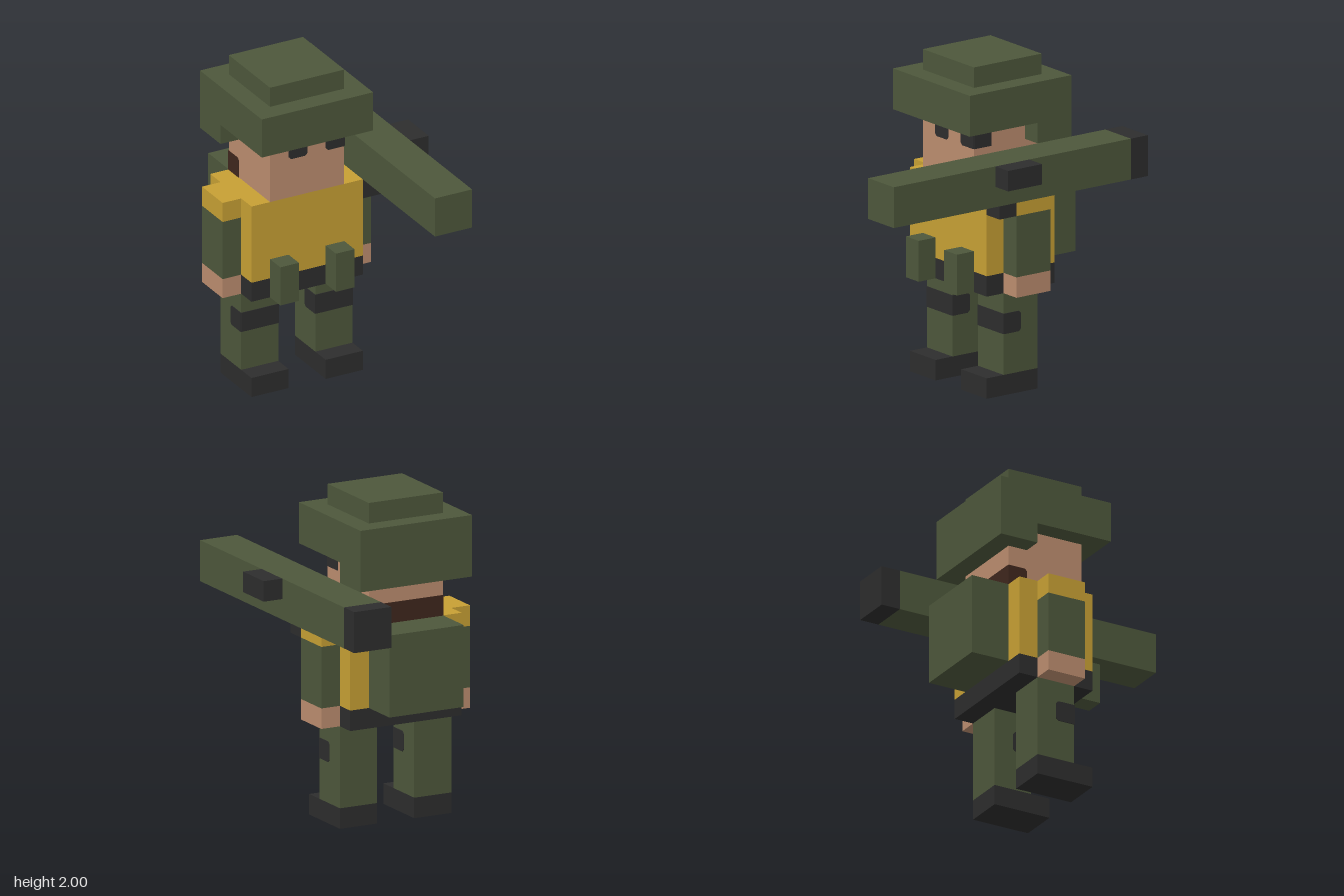
import * as THREE from 'three';

const mat = (name, color) => {
  const m = new THREE.MeshStandardMaterial({ color });
  m.name = name;
  return m;
};

export function createModel() {
  const green = mat('olive cloth', 0x4d573b);
  const yellow = mat('yellow vest', 0xc7a034);
  const skin = mat('skin', 0xbc8d6f);
  const black = mat('charcoal', 0x2d2d2d);
  const brown = mat('brown hair', 0x3f271d);

  const model = new THREE.Group();
  model.name = 'toySoldier';

  // Box given by its [min, max] range on each axis
  function box(name, material, [x0, x1], [y0, y1], [z0, z1]) {
    const mesh = new THREE.Mesh(new THREE.BoxGeometry(x1 - x0, y1 - y0, z1 - z0), material);
    mesh.position.set((x0 + x1) / 2, (y0 + y1) / 2, (z0 + z1) / 2);
    mesh.name = name;
    model.add(mesh);
  }

  // Thin painted plate; cuts chamfer the corners [bottom left, bottom right, top right, top left]
  function plate(name, material, w, h, position, turn = 0, cuts = [0, 0, 0, 0]) {
    const c = cuts.map((on) => (on ? 0.015 : 0));
    const x = w / 2, y = h / 2;
    const shape = new THREE.Shape();
    shape.moveTo(-x + c[0], -y);
    shape.lineTo(x - c[1], -y);
    if (c[1]) shape.lineTo(x, -y + c[1]);
    shape.lineTo(x, y - c[2]);
    if (c[2]) shape.lineTo(x - c[2], y);
    shape.lineTo(-x + c[3], y);
    if (c[3]) shape.lineTo(-x, y - c[3]);
    shape.lineTo(-x, -y + c[0]);
    const geometry = new THREE.ExtrudeGeometry(shape, { depth: 0.004, bevelEnabled: false });
    const mesh = new THREE.Mesh(geometry, material);
    mesh.position.set(...position);
    mesh.rotation.y = turn;
    mesh.name = name;
    model.add(mesh);
  }
  const LEFT = Math.PI / 2, RIGHT = -Math.PI / 2, BACK = Math.PI;

  // Helmet: crown, brim block and the lower guard round the back of the head
  box('helmetCrown', green, [-0.375, 0.125], [1.875, 2], [-0.4375, 0.0625]);
  box('helmet', green, [-0.5, 0.25], [1.625, 1.875], [-0.5625, 0.1875]);
  box('helmetBackGuard', green, [-0.5, 0.25], [1.5, 1.625], [-0.5625, -0.3125]);

  // Head with eyes and a band of hair at the nape
  box('head', skin, [-0.375, 0.125], [1.25, 1.7], [-0.4375, 0.0625]);
  plate('rightEye', black, 0.125, 0.125, [-0.1875, 1.5625, 0.0625], 0, [1, 1, 0, 0]);
  plate('leftEye', black, 0.125, 0.125, [0.0625, 1.5625, 0.0625], 0, [1, 0, 0, 0]);
  plate('leftEyeSide', black, 0.125, 0.125, [0.125, 1.5625, 0], LEFT);
  plate('hairBack', brown, 0.5, 0.125, [-0.125, 1.3125, -0.4375], BACK);
  plate('hairLeft', brown, 0.125, 0.125, [0.125, 1.3125, -0.375], LEFT, [0, 0, 0, 1]);
  plate('hairRight', brown, 0.125, 0.125, [-0.375, 1.3125, -0.375], RIGHT, [0, 0, 1, 0]);

  // Torso, belt and backpack
  box('vest', yellow, [-0.5, 0.25], [0.75, 1.25], [-0.4375, 0.0625]);
  box('belt', black, [-0.5, 0.25], [0.625, 0.75], [-0.4375, 0.0625]);
  box('backpack', green, [-0.375, 0.125], [0.75, 1.25], [-0.6875, -0.4375]);
  for (const x of [-0.375, 0]) {
    box('beltPouch', green, [x, x + 0.125], [0.625, 0.875], [0.0625, 0.1875]);
  }

  // Arms
  for (const [side, x] of [['right', -0.625], ['left', 0.25]]) {
    const xs = [x, x + 0.125], zs = [-0.3125, -0.0625];
    box(side + 'Shoulder', yellow, xs, [1.125, 1.25], zs);
    box(side + 'Sleeve', green, xs, [0.75, 1.125], zs);
    box(side + 'Hand', skin, xs, [0.625, 0.75], zs);
  }

  // Legs, boots and wrap-round knee pads
  for (const [side, x] of [['right', -0.5], ['left', 0]]) {
    box(side + 'Leg', green, [x, x + 0.25], [0.125, 0.625], [-0.3125, -0.0625]);
    box(side + 'Boot', black, [x, x + 0.25], [0, 0.125], [-0.3125, 0.0625]);
    plate(side + 'KneePad', black, 0.25, 0.125, [x + 0.125, 0.4375, -0.0625]);
    plate(side + 'KneePadLeftSide', black, 0.125, 0.125, [x + 0.25, 0.4375, -0.125], LEFT, [0, 1, 1, 0]);
    plate(side + 'KneePadRightSide', black, 0.125, 0.125, [x, 0.4375, -0.125], RIGHT, [1, 0, 0, 1]);
  }

  // Shoulder launcher
  box('launcherTube', green, [0.25, 0.5], [1.25, 1.5], [-0.8125, 0.9375]);
  box('launcherRearCap', black, [0.25, 0.5], [1.25, 1.5], [-0.9375, -0.8125]);
  box('launcherSight', black, [0.5, 0.625], [1.375, 1.5], [-0.0625, 0.1875]);
  box('launcherGrip', black, [0.25, 0.375], [1.125, 1.25], [-0.0625, 0.0625]);

  return model;
}
